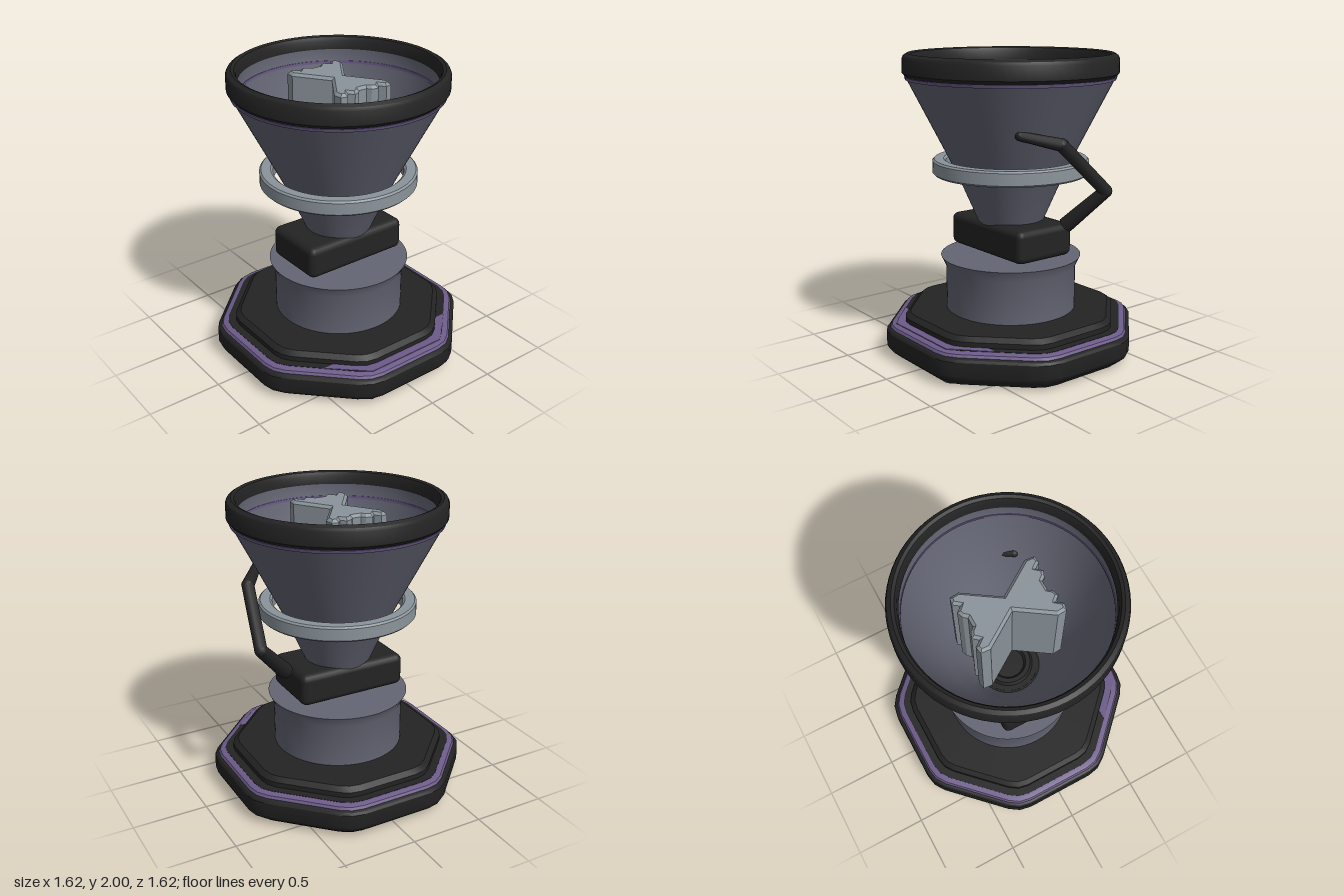
import * as THREE from 'three';
import { toCreasedNormals } from 'three/addons/utils/BufferGeometryUtils.js';
import { RoundedBoxGeometry } from 'three/addons/geometries/RoundedBoxGeometry.js';

function material(name, color) {
  const m = new THREE.MeshStandardMaterial({ color });
  m.name = name;
  return m;
}

// Spun profile, listed anticlockwise as [radius, height]
function turned(profile, segments = 72) {
  const points = profile.map(([r, y]) => new THREE.Vector2(r, y));
  return toCreasedNormals(new THREE.LatheGeometry(points, segments), 0.5);
}

// Spun profile pushed out to an octagon with blunted corners
function octagonal(profile) {
  const points = profile.map(([r, y]) => new THREE.Vector2(r, y));
  const geo = new THREE.LatheGeometry(points, 64);
  const pos = geo.attributes.position;
  const step = Math.PI / 4;
  for (let i = 0; i < pos.count; i++) {
    const x = pos.getX(i), z = pos.getZ(i);
    const angle = Math.atan2(x, z);
    const fromFlat = angle - Math.round(angle / step) * step;
    const k = Math.min(1 / Math.cos(fromFlat), 1.06);
    pos.setX(i, x * k);
    pos.setZ(i, z * k);
  }
  return toCreasedNormals(geo, 0.5);
}

// Outline in x and z, extruded downward from the height top
function slab(outline, top, depth, bevel = 0) {
  const shape = new THREE.Shape(outline.map(([x, z]) => new THREE.Vector2(x, z)));
  const geo = new THREE.ExtrudeGeometry(shape, {
    depth: depth - 2 * bevel, bevelEnabled: bevel > 0, bevelSize: bevel,
    bevelThickness: bevel, bevelOffset: -bevel, bevelSegments: 1,
  });
  return geo.rotateX(Math.PI / 2).translate(0, top - bevel, 0);
}

// Front slice of an octagon of the given half width
function frontSlice(a, z) {
  const x = a * Math.SQRT2 - z, v = a * 0.39;
  return [[-x, z], [x, z], [v, a], [-v, a]];
}

export function createModel() {
  const model = new THREE.Group();
  const dark = material('charcoal', 0x232323);
  const slate = material('slate grey', 0x636573);
  const silver = material('pale grey', 0x8b949b);
  const purple = material('dusty purple', 0x6c5b89);

  function add(name, geometry, mat, parent = model) {
    const mesh = new THREE.Mesh(geometry, mat);
    mesh.name = name;
    parent.add(mesh);
    return mesh;
  }

  // Stepped octagonal base
  add('base', octagonal([[0, 0.004], [0.74, 0.004], [0.795, 0.05], [0.81, 0.08], [0.81, 0.175],
    [0.8, 0.19], [0.78, 0.2], [0, 0.2]]), dark);
  add('baseTrim', octagonal([[0, 0.198], [0.785, 0.198], [0.775, 0.215], [0.745, 0.226], [0, 0.226]]), purple);
  add('baseDeck', octagonal([[0, 0.222], [0.74, 0.222], [0.74, 0.228], [0, 0.228]]), dark);
  add('baseStep', octagonal([[0, 0.222], [0.688, 0.222], [0.688, 0.262], [0.655, 0.29], [0, 0.29]]), dark);
  add('frontDeckPatch', slab(frontSlice(0.742, 0.53), 0.231, 0.005), purple);
  add('frontUnderPatch', slab(frontSlice(0.735, 0.53), 0.005, 0.005), purple);

  // Pedestal with flared lip
  add('pedestal', turned([[0, 0.28], [0.438, 0.28], [0.438, 0.58], [0.472, 0.652], [0, 0.652]]), slate);

  // Floating block under the funnel
  const block = add('outletBlock', new RoundedBoxGeometry(0.76, 0.22, 0.45, 2, 0.045), dark);
  block.position.set(-0.005, 0.79, 0);

  // Hollow funnel with a straight liner at its mouth
  add('funnel', turned([[0.2, 0.84], [0.225, 0.9], [0.355, 1.2], [0.41, 1.31], [0.685, 1.85],
    [0.66, 1.91], [0.636, 1.91], [0.636, 1.79], [0.398, 1.31], [0.343, 1.2], [0.213, 0.9],
    [0.188, 0.84], [0.2, 0.84]]), slate);
  add('outletRing', turned([[0.2, 0.86], [0.2, 0.904], [0.165, 0.904], [0.15, 0.925],
    [0.12, 0.925], [0.105, 0.904], [0, 0.904]]), dark);
  add('outerTrim', turned([[0.66, 1.832], [0.685, 1.832], [0.692, 1.852], [0.66, 1.852], [0.66, 1.832]]), purple);
  add('innerTrim', turned([[0.632, 1.81], [0.64, 1.81], [0.64, 1.828], [0.632, 1.828], [0.632, 1.81]]), purple);

  // Rim and collar
  add('rim', turned([[0.64, 1.852], [0.685, 1.852], [0.705, 1.875], [0.705, 1.965], [0.695, 1.985],
    [0.67, 2], [0.65, 1.992], [0.638, 1.965], [0.634, 1.91], [0.64, 1.91], [0.64, 1.852]]), dark);
  add('collar', turned([[0.43, 1.22], [0.445, 1.208], [0.508, 1.208], [0.52, 1.22], [0.52, 1.298],
    [0.508, 1.31], [0.445, 1.31], [0.43, 1.298], [0.43, 1.22]]), silver);

  // Hourglass block with scalloped ends
  const end = [[0.2, 0.22], [0.195, 0.28], [0.15, 0.29], [0.12, 0.25], [0.09, 0.285], [0.05, 0.27],
    [0.03, 0.245], [-0.03, 0.245], [-0.05, 0.27], [-0.09, 0.285], [-0.12, 0.25], [-0.15, 0.29],
    [-0.195, 0.28], [-0.2, 0.22]];
  const hourglass = [...end, [-0.052, 0], ...end.map(([x, z]) => [-x, -z]), [0.052, 0]];
  add('hourglassBlock', slab(hourglass, 1.93, 0.68, 0.018), silver);

  // Bent crank handle on the model's left
  const handle = new THREE.Group();
  handle.name = 'crankHandle';
  model.add(handle);
  const joints = [[0.44, 1.53, 0.28, 0.03], [0.6, 1.475, 0.08, 0.042],
    [0.665, 1.16, -0.235, 0.042], [0.44, 0.915, -0.1, 0.052]];
  joints.forEach(([x, y, z, r], i) => {
    if (i < 3) {
      const knob = add('handleJoint', new THREE.SphereGeometry(r, 12, 8), dark, handle);
      knob.position.set(x, y, z);
    }
    if (i === 0) return;
    const [px, py, pz, pr] = joints[i - 1];
    const from = new THREE.Vector3(px, py, pz), to = new THREE.Vector3(x, y, z);
    const along = to.clone().sub(from);
    const bar = add('handleBar', new THREE.CylinderGeometry(r, pr, along.length(), 10), dark, handle);
    bar.position.copy(from).add(to).multiplyScalar(0.5);
    bar.quaternion.setFromUnitVectors(new THREE.Vector3(0, 1, 0), along.normalize());
  });

  return model;
}
